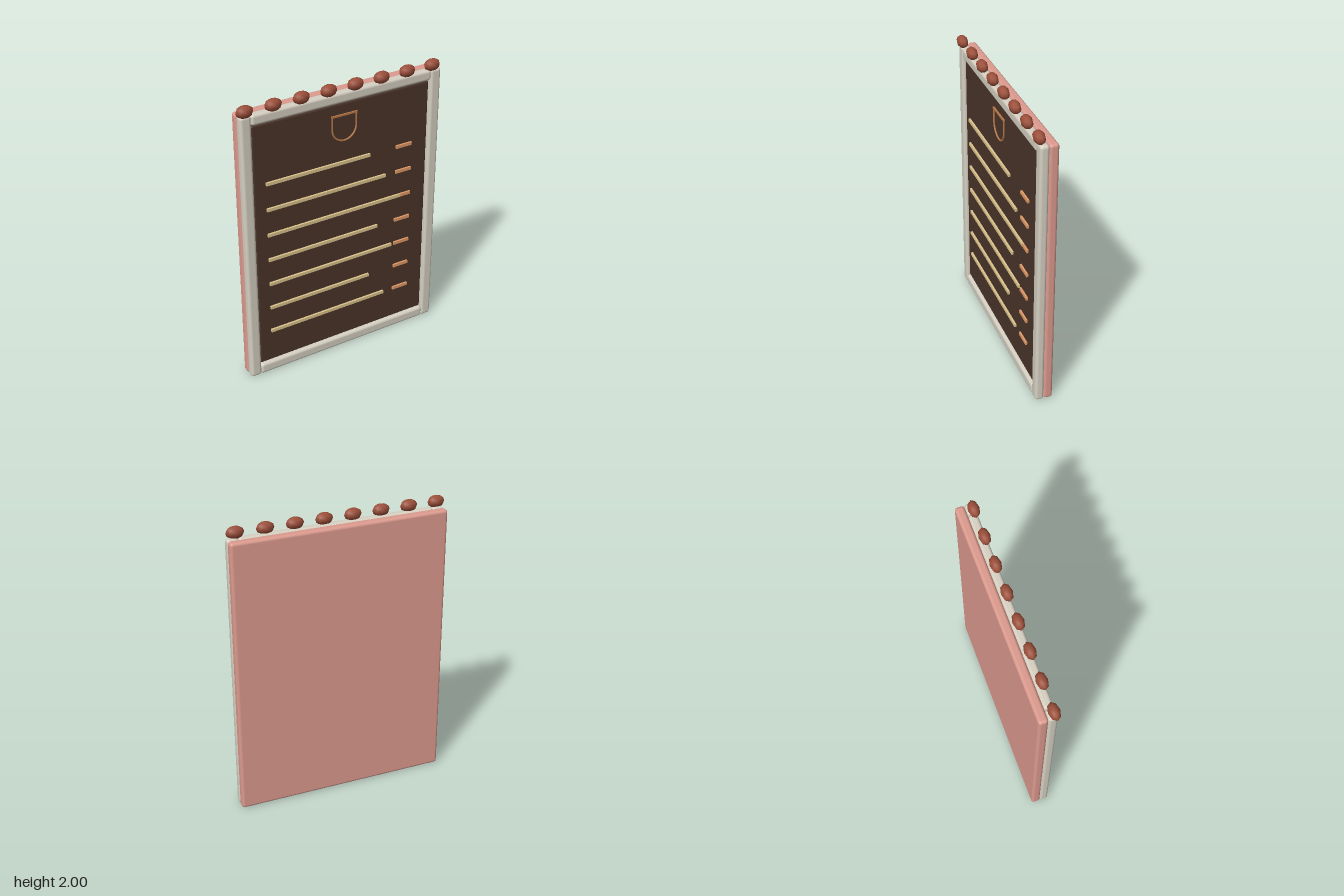
import * as THREE from 'three';
import { RoundedBoxGeometry } from 'three/addons/geometries/RoundedBoxGeometry.js';

const mat = (color) => new THREE.MeshStandardMaterial({ color });

export function createModel() {
  const root = new THREE.Group();
  root.name = 'menuBoard';
  const pink = mat(0xdc9a8e), cream = mat(0xd6d0c2), dark = mat(0x4a352a);
  const tan = mat(0xdcc48c), orange = mat(0xe09a66), copper = mat(0xb87848), rust = mat(0x9c4f3a);

  const add = (name, geometry, material, x = 0, y = 0, z = 0, parent = root) => {
    const mesh = new THREE.Mesh(geometry, material);
    mesh.name = name;
    mesh.position.set(x, y, z);
    parent.add(mesh);
    return mesh;
  };
  // Rounded block given by its extents
  const block = (name, material, [x0, x1], [y0, y1], [z0, z1], r) =>
    add(name, new RoundedBoxGeometry(x1 - x0, y1 - y0, z1 - z0, 3, r), material,
      (x0 + x1) / 2, (y0 + y1) / 2, (z0 + z1) / 2);

  // Backing panel and dark writing surface
  block('backPanel', pink, [-0.725, 0.74], [0.005, 1.93], [-0.073, -0.01], 0.02);
  block('board', dark, [-0.643, 0.657], [0.085, 1.847], [-0.025, 0.028], 0.01);

  // Frame: two stiles and two rails
  const depth = [-0.012, 0.048];
  block('rightStile', cream, [-0.725, -0.648], [0.005, 1.93], depth, 0.02);
  block('leftStile', cream, [0.662, 0.74], [0.005, 1.93], depth, 0.02);
  block('bottomRail', cream, [-0.65, 0.664], [0.005, 0.082], depth, 0.02);
  block('topRail', cream, [-0.65, 0.664], [1.855, 1.93], depth, 0.02);

  // Rows of item strips with a short price strip each
  [0.205, 0.33, 0.45, 0.27, 0.39, 0.205, 0.33].forEach((end, i) => {
    const y = 1.435 - i * 0.185;
    const length = end + 0.56;
    add('itemStrip', new THREE.BoxGeometry(length, 0.022, 0.017), tan, -0.56 + length / 2, y, 0.0335);
    add('priceStrip', new THREE.BoxGeometry(0.12, 0.022, 0.016), orange, 0.47, y, 0.033);
  });

  // Cup outline: rim, two sides and a half-round bottom
  const cup = new THREE.Group();
  cup.name = 'cupOutline';
  cup.position.set(0.01, 1.68, 0.032);
  root.add(cup);
  const bowl = add('cupBottom', new THREE.TorusGeometry(0.089, 0.006, 8, 24, Math.PI), copper, 0, 0, 0, cup);
  bowl.rotation.z = Math.PI;
  for (const s of [-1, 1])
    add('cupSide', new THREE.CylinderGeometry(0.006, 0.006, 0.09, 8), copper, s * 0.089, 0.045, 0, cup);
  add('cupRim', new THREE.BoxGeometry(0.19, 0.012, 0.013), copper, 0, 0.09, 0, cup);

  // Row of beads along the top
  const beadGeometry = new THREE.SphereGeometry(1, 8, 6);
  for (let i = 0; i < 8; i++) {
    const bead = add('bead', beadGeometry, rust, -0.687 + i * 0.1945, 1.959, 0.032);
    bead.scale.set(0.06, 0.041, 0.037);
  }
  return root;
}
